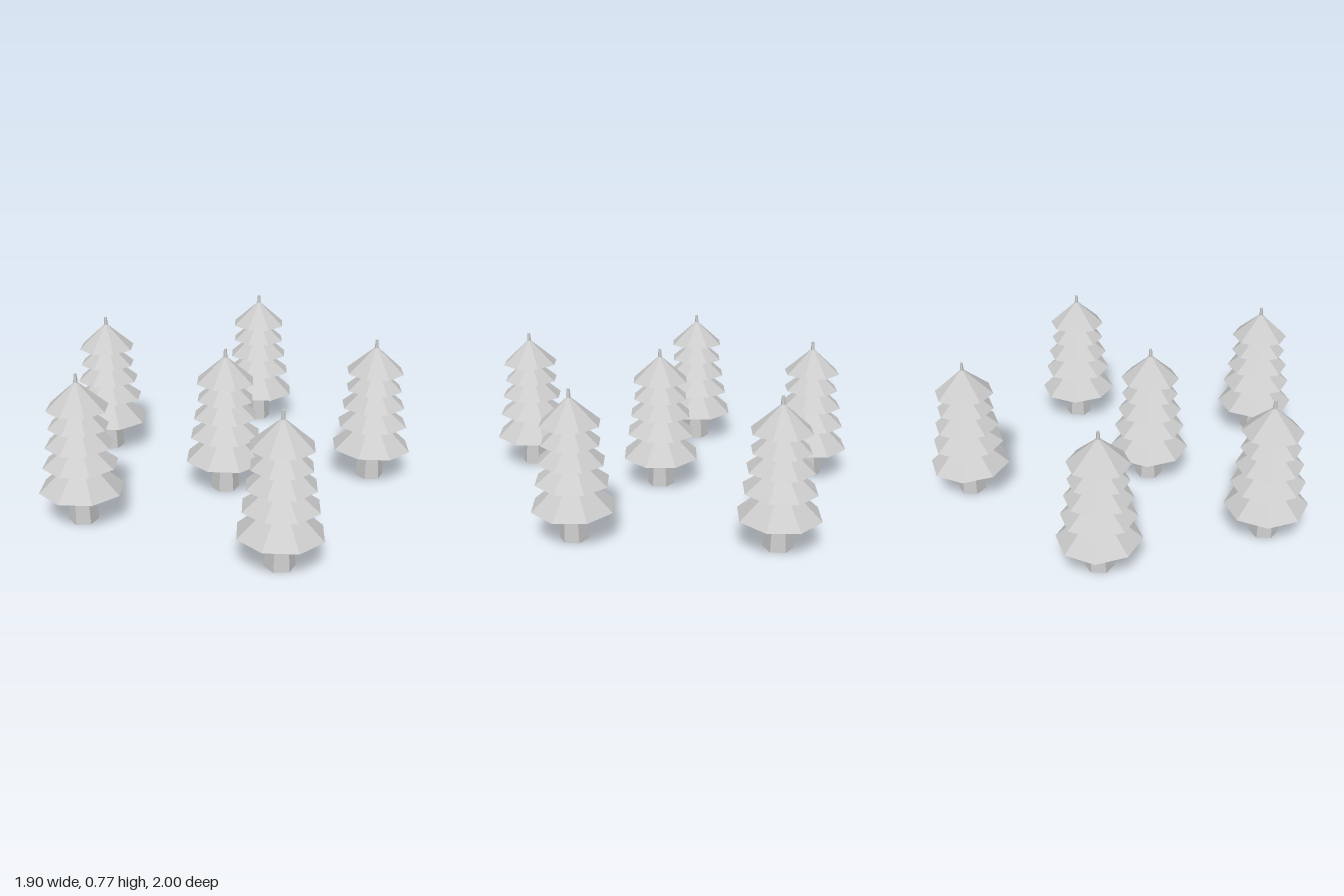
import * as THREE from 'three';

const material = new THREE.MeshStandardMaterial({ color: 0xcccccc, flatShading: true, side: THREE.DoubleSide });

// Foliage skirts: [rim radius, rim height, apex height, tilt about x, tilt about z]
const TIERS = [
  [0.213, 0.172, 0.365, -0.03, 0],
  [0.188, 0.305, 0.45, -0.03, 0.02],
  [0.17, 0.41, 0.555, -0.02, 0.02],
  [0.15, 0.505, 0.635, -0.02, 0],
  [0.153, 0.6, 0.738, 0, 0],
];

// Tree positions: [x, z]
const SPOTS = [
  [-0.14, -0.788], [0.733, -0.295], [-0.742, -0.035],
  [0.083, 0.167], [-0.409, 0.782], [0.638, 0.772],
];

const HEIGHT = 0.772;
const trunkGeometry = new THREE.CylinderGeometry(0.007, 0.075, HEIGHT, 6).translate(0, HEIGHT / 2, 0);

// Open eight-sided cone, tilted slightly about its rim centre
const tierGeometries = TIERS.map(([radius, rim, apex, tiltX, tiltZ]) =>
  new THREE.ConeGeometry(radius, apex - rim, 8, 1, true)
    .translate(0, (apex - rim) / 2, 0)
    .rotateX(tiltX)
    .rotateZ(tiltZ)
    .translate(0, rim, 0));

function createTree() {
  const tree = new THREE.Group();
  tree.name = 'pineTree';
  // Six-sided tapering trunk whose tip pokes out of the top
  const trunk = new THREE.Mesh(trunkGeometry, material);
  trunk.name = 'trunk';
  tree.add(trunk);
  tierGeometries.forEach((geometry, i) => {
    const tier = new THREE.Mesh(geometry, material);
    tier.name = `foliageTier${i + 1}`;
    tree.add(tier);
  });
  return tree;
}

export function createModel() {
  const grove = new THREE.Group();
  grove.name = 'pineGrove';
  for (const [x, z] of SPOTS) {
    const tree = createTree();
    tree.position.set(x, 0, z);
    grove.add(tree);
  }
  return grove;
}
